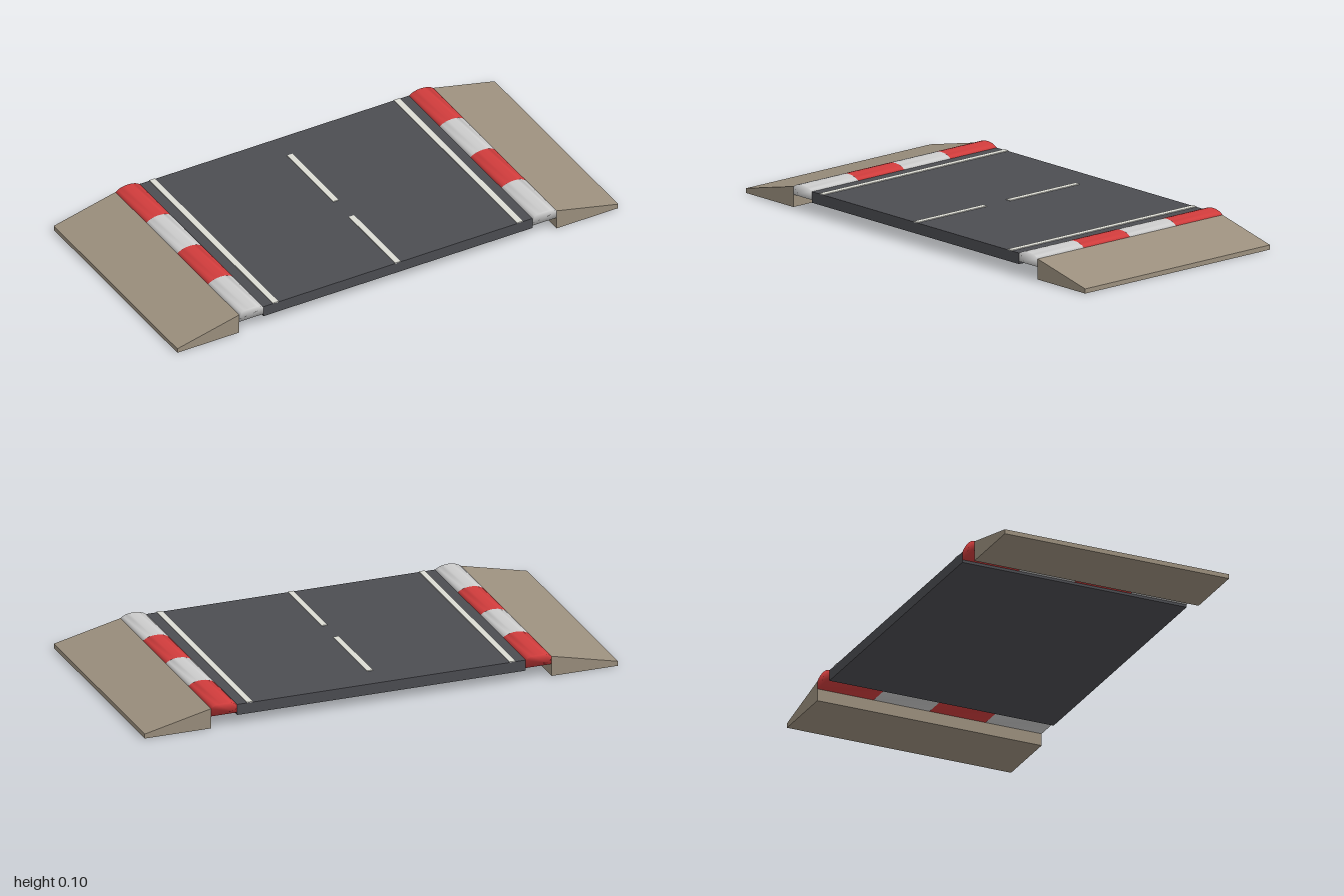
import * as THREE from 'three';
import { mergeVertices } from 'three/addons/utils/BufferGeometryUtils.js';

const DEPTH = 0.976, HALF = DEPTH / 2;
const material = (color) => new THREE.MeshStandardMaterial({ color });
const asphalt = material(0x4c4d52);
const paint = material(0xdcdcd4);
const earth = material(0x9c907e);
const red = material(0xd03c3c);
const grey = material(0xcccccc);

export function createModel() {
  const model = new THREE.Group();
  model.name = 'roadSection';

  const add = (name, geometry, mat) => {
    const mesh = new THREE.Mesh(geometry, mat);
    mesh.name = name;
    model.add(mesh);
    return mesh;
  };
  // Box given by its extents on each axis
  const box = (name, mat, x0, x1, y0, y1, z0, z1) => add(name,
    new THREE.BoxGeometry(x1 - x0, y1 - y0, z1 - z0), mat)
    .position.set((x0 + x1) / 2, (y0 + y1) / 2, (z0 + z1) / 2);
  // Cross-section in x and y, extruded along z
  const extrude = (shape, depth) => new THREE.ExtrudeGeometry(shape,
    { depth, bevelEnabled: false, curveSegments: 8 });

  // Carriageway and centre dashes
  box('roadSurface', asphalt, -0.61, 0.61, 0.04, 0.085, -HALF, HALF);
  for (const z of [-0.366, 0.122]) {
    box('centreDash', paint, -0.012, 0.012, 0.084, 0.088, z, z + 0.366);
  }

  for (const side of [1, -1]) {
    const name = side > 0 ? 'left' : 'right';
    const inner = Math.min(side * 0.542, side * 0.567);
    box(name + 'EdgeLine', paint, inner, inner + 0.025, 0.084, 0.088, -HALF, HALF);

    // Kerb blocks with crowned tops, red and grey in turn from the back
    const kerb = new THREE.Shape();
    kerb.moveTo(-0.055, 0.051);
    kerb.lineTo(0.055, 0.051);
    kerb.lineTo(0.055, 0.084);
    kerb.bezierCurveTo(0.03, 0.107, -0.03, 0.107, -0.055, 0.084);
    kerb.closePath();
    for (let i = 0; i < 4; i++) {
      let geometry = extrude(kerb, DEPTH / 4);
      geometry.deleteAttribute('normal');
      geometry.deleteAttribute('uv');
      geometry = mergeVertices(geometry, 1e-4);
      geometry.computeVertexNormals();
      add(name + 'KerbBlock', geometry, i % 2 ? grey : red)
        .position.set(side * 0.665, 0, -HALF + i * DEPTH / 4);
    }

    // Sloping shoulder
    const shoulder = new THREE.Shape([[0.72, 0], [1, 0], [1, 0.019], [0.72, 0.084]]
      .map(([x, y]) => new THREE.Vector2(side * x, y)));
    add(name + 'Shoulder', extrude(shoulder, DEPTH), earth).position.z = -HALF;
  }
  return model;
}
